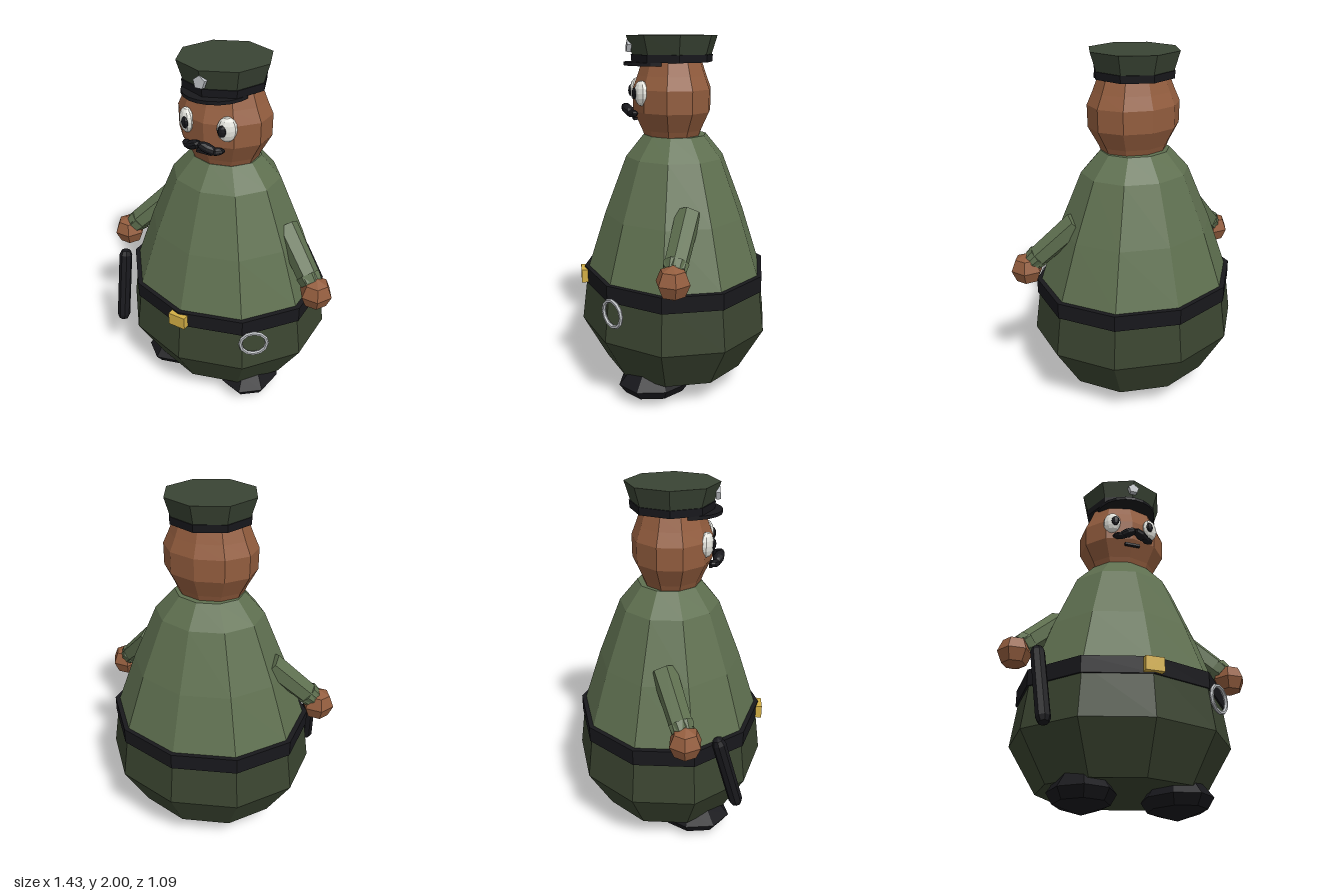
import * as THREE from 'three';

const mat = (color) => new THREE.MeshStandardMaterial({ color, flatShading: true });
const MAT = {
  shirt: mat(0x5f7050), trousers: mat(0x3a4430), cap: mat(0x3a4434), black: mat(0x18181c),
  skin: mat(0x935d3e), gold: mat(0xd4af45), silver: mat(0xbcbfc3), white: mat(0xe6e6df),
};

export function createModel() {
  const model = new THREE.Group();

  const add = (name, geometry, material, pos = [0, 0, 0], rot = [0, 0, 0], scale = [1, 1, 1]) => {
    const mesh = new THREE.Mesh(geometry, MAT[material]);
    mesh.name = name;
    mesh.position.set(...pos);
    mesh.rotation.set(...rot);
    mesh.scale.set(...scale);
    model.add(mesh);
    return mesh;
  };
  // Profile of [radius, y] pairs, listed bottom to top
  const lathe = (profile, sides) =>
    new THREE.LatheGeometry(profile.map(([r, y]) => new THREE.Vector2(r, y)), sides);
  // Turns a mesh's y axis from point a towards point b and centres it between them
  const span = (mesh, a, b) => {
    const dir = b.clone().sub(a).normalize();
    mesh.quaternion.setFromUnitVectors(new THREE.Vector3(0, 1, 0), dir);
    mesh.position.copy(a).add(b).multiplyScalar(0.5);
  };

  // Pear-shaped body, slightly flattened front to back
  const oval = [1, 1, 0.9];
  add('trousers', lathe([[0, 0.145], [0.452, 0.145], [0.605, 0.4], [0.565, 0.68]], 10), 'trousers', undefined, undefined, oval);
  add('shirt', lathe([[0.565, 0.68], [0.555, 0.72], [0.443, 1.03], [0.305, 1.35], [0.195, 1.47], [0, 1.47]], 10),
    'shirt', undefined, undefined, oval);
  add('belt', lathe([[0.55, 0.63], [0.583, 0.63], [0.583, 0.72], [0.54, 0.72]], 10), 'black', undefined, undefined, oval);
  add('buckle', new THREE.BoxGeometry(0.1, 0.075, 0.04), 'gold', [0, 0.673, 0.525]);

  // Head and cap
  add('head', lathe([[0, 1.46], [0.185, 1.465], [0.2, 1.5], [0.256, 1.6], [0.258, 1.72], [0.226, 1.79], [0.198, 1.86], [0, 1.87]], 10),
    'skin', [0, 0, 0.015], undefined, [1, 1, 0.84]);
  add('capBand', lathe([[0, 1.86], [0.222, 1.86], [0.225, 1.9], [0, 1.9]], 8), 'black', [0, 0, 0.014]);
  add('capCrown', lathe([[0, 1.895], [0.217, 1.895], [0.25, 2], [0, 2]], 8), 'cap', [0, 0, 0.014]);
  add('capVisor', new THREE.CylinderGeometry(0.178, 0.178, 0.018, 10, 1, false, -Math.PI / 2, Math.PI), 'black', [0, 1.852, 0.1]);
  add('capBadge', new THREE.CylinderGeometry(0.034, 0.034, 0.025, 5), 'silver', [0, 1.94, 0.25], [Math.PI / 2 - 0.1, Math.PI, 0]);

  // Face, arms and feet, mirrored
  for (const s of [1, -1]) {
    const side = s > 0 ? 'left' : 'right';
    add(side + 'Eye', new THREE.SphereGeometry(1, 10, 8), 'white', [s * 0.118, 1.703, 0.198], [0, s * 0.5, 0], [0.052, 0.067, 0.034]);
    add(side + 'Pupil', new THREE.SphereGeometry(1, 8, 6), 'black', [s * 0.108, 1.702, 0.231], [0, s * 0.4, 0], [0.025, 0.032, 0.014]);
    add(side + 'MoustacheInner', new THREE.SphereGeometry(1, 8, 6), 'black', [s * 0.04, 1.61, 0.262], [0, s * 0.3, s * -0.4], [0.058, 0.025, 0.03]);
    add(side + 'MoustacheTip', new THREE.SphereGeometry(1, 8, 6), 'black', [s * 0.083, 1.594, 0.245], [0, s * 0.5, s * 0.1], [0.045, 0.02, 0.024]);

    const shoulder = new THREE.Vector3(s * 0.365, 1.1, -0.01);
    const wrist = new THREE.Vector3(s * 0.585, 0.875, 0.1);
    const length = shoulder.distanceTo(wrist);
    span(add(side + 'Sleeve', new THREE.CylinderGeometry(0.062, 0.07, length, 6), 'shirt'), shoulder, wrist);
    const cuffStart = shoulder.clone().lerp(wrist, 0.9);
    span(add(side + 'Cuff', new THREE.CylinderGeometry(0.06, 0.068, 0.05, 7), 'shirt'), cuffStart, wrist);
    add(side + 'Hand', new THREE.SphereGeometry(0.092, 6, 4), 'skin', [s * 0.622, 0.825, 0.115]);

    add(side + 'Shoe', lathe([[0, 0], [0.82, 0.05], [1, 0.105], [0.7, 0.18], [0, 0.185]], 8),
      'black', [s * 0.252, 0, 0.155], [0, s * 0.2, 0], [0.175, 1, 0.215]);
  }
  add('mouth', new THREE.BoxGeometry(0.09, 0.014, 0.02), 'black', [0, 1.56, 0.222]);

  // Baton hanging beside the right hand
  const baton = add('baton', new THREE.CapsuleGeometry(0.038, 0.39, 2, 8), 'black');
  span(baton, new THREE.Vector3(-0.505, 0.37, 0.395), new THREE.Vector3(-0.533, 0.79, 0.28));

  // Handcuff ring on the left hip
  add('handcuff', new THREE.TorusGeometry(0.073, 0.011, 6, 12), 'silver', [0.402, 0.585, 0.402], [0, 0.59, 0]);

  return model;
}
